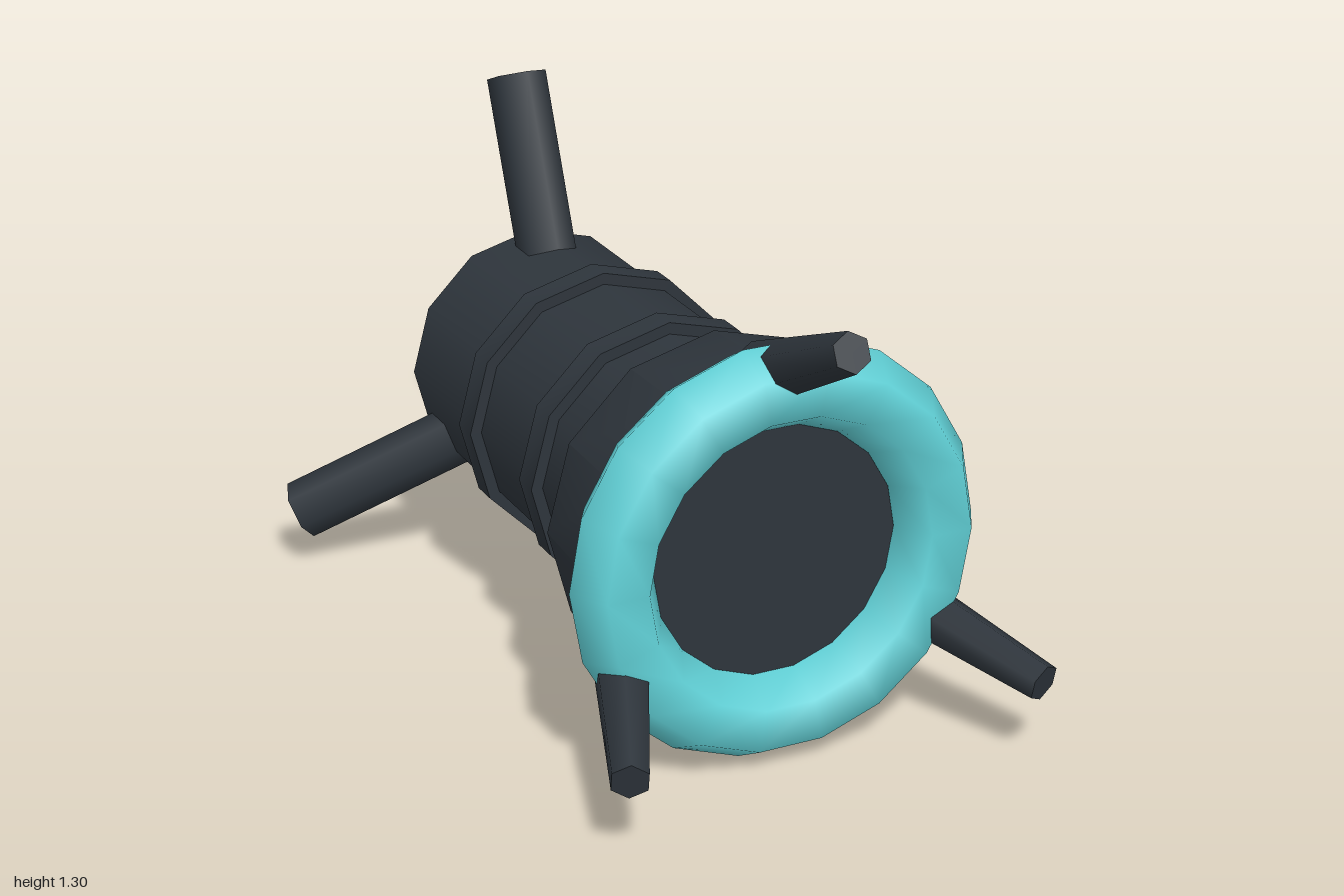
import * as THREE from 'three';
import { toCreasedNormals } from 'three/addons/utils/BufferGeometryUtils.js';

const AXIS_Y = 0.53;

export function createModel() {
  const dark = new THREE.MeshStandardMaterial({ color: 0x2e353c });
  dark.name = 'dark metal';
  const cyan = new THREE.MeshStandardMaterial({ color: 0x62d3d9 });
  cyan.name = 'glowing cyan';

  const model = new THREE.Group();
  model.name = 'probe';
  const device = new THREE.Group();
  device.name = 'device';
  device.position.y = AXIS_Y;
  model.add(device);

  const add = (parent, name, geometry, material) => {
    const mesh = new THREE.Mesh(geometry, material);
    mesh.name = name;
    parent.add(mesh);
    return mesh;
  };

  // Twelve-sided turned part along z, from [radius, z] pairs running back to front
  const turned = (profile) => {
    const points = profile.map(([r, z]) => new THREE.Vector2(r, z));
    const geometry = new THREE.LatheGeometry(points, 12).rotateX(Math.PI / 2);
    return toCreasedNormals(geometry, 0.7);
  };

  // Main barrel with bevelled back end
  add(device, 'barrel', turned([
    [0, -0.78], [0.325, -0.78], [0.345, -0.76], [0.345, 0.32], [0, 0.32],
  ]), dark);

  // Flared collar whose front face closes the ring
  add(device, 'collar', turned([
    [0, 0.285], [0.42, 0.285], [0.44, 0.31], [0.46, 0.632], [0, 0.632],
  ]), dark);

  // Raised bands around the barrel
  for (const z of [0.034, -0.345]) {
    add(device, 'band', turned([
      [0.33, z - 0.037], [0.375, z - 0.037], [0.375, z + 0.037], [0.33, z + 0.037],
    ]), dark);
  }

  // Front ring
  add(device, 'frontRing', new THREE.TorusGeometry(0.425, 0.107, 6, 18), cyan).position.z = 0.635;

  // Rear dome
  const dome = new THREE.SphereGeometry(0.185, 12, 8).rotateX(-Math.PI / 2);
  add(device, 'rearDome', dome, cyan).position.z = -0.815;

  // Six-sided strut from base to tip, both given as [distance from axis, z]
  const strut = (base, tip, baseRadius, tipRadius) => {
    const dr = tip[0] - base[0];
    const dz = tip[1] - base[1];
    return new THREE.CylinderGeometry(tipRadius, baseRadius, Math.hypot(dr, dz), 6)
      .rotateX(Math.atan2(dz, dr))
      .translate(0, (base[0] + tip[0]) / 2, (base[1] + tip[1]) / 2);
  };
  const rearLeg = strut([0.25, -0.635], [0.75, -0.842], 0.0785, 0.0785);
  const frontProng = strut([0.413, 0.535], [0.625, 0.976], 0.076, 0.049);

  // Three legs and three prongs, evenly spaced about the axis
  for (let i = 0; i < 3; i++) {
    const arms = new THREE.Group();
    arms.name = 'arms';
    arms.rotation.z = (i * Math.PI * 2) / 3;
    add(arms, 'rearLeg', rearLeg, dark);
    add(arms, 'frontProng', frontProng, dark);
    device.add(arms);
  }

  return model;
}
